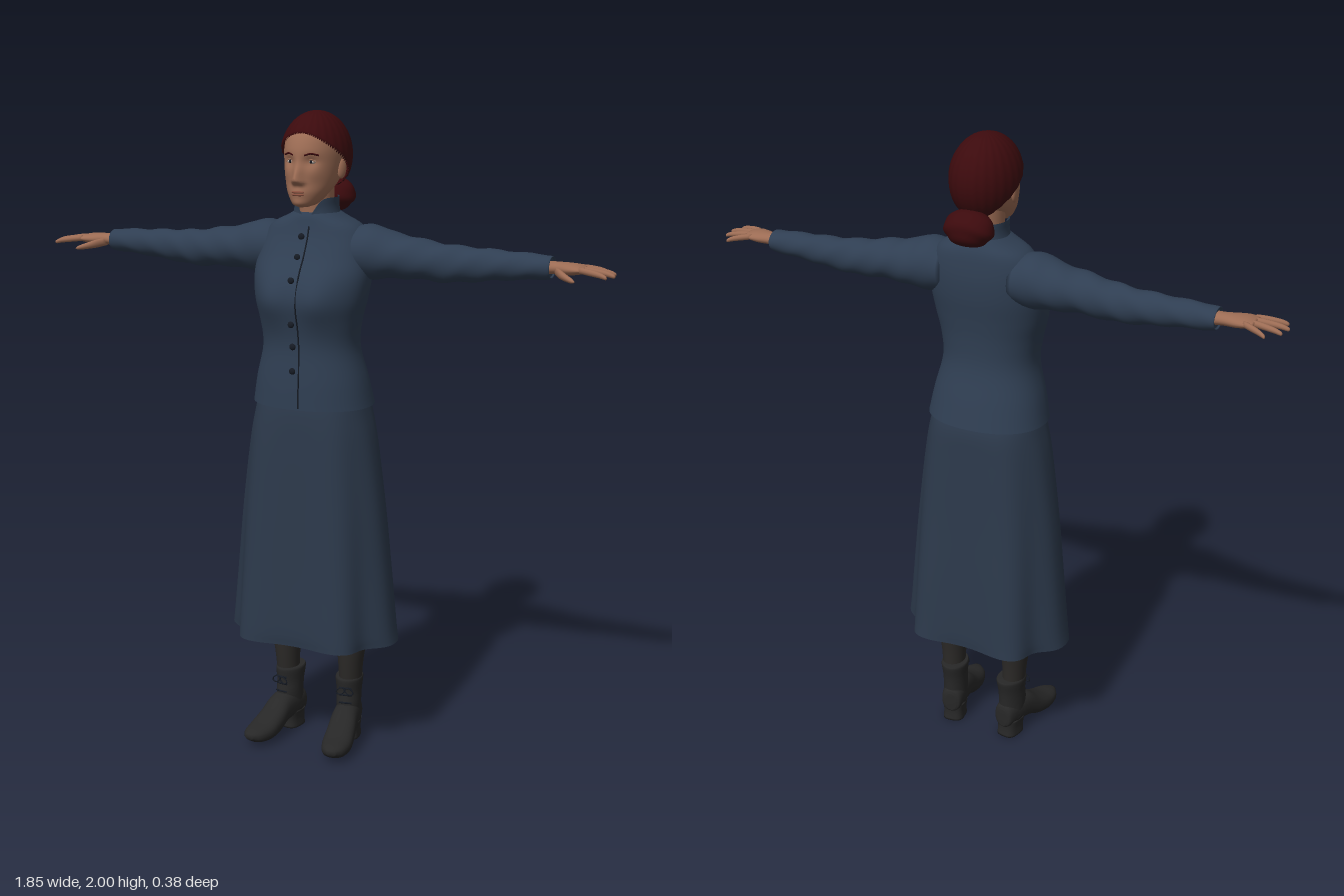
import * as THREE from 'three';

const mat = (name, color, side = THREE.FrontSide) => {
  const m = new THREE.MeshStandardMaterial({ color, side });
  m.name = name;
  return m;
};

// Smooth surface through sections [t, ca, cb, ra, rb] rising along an axis.
// Ring plane (a, b): axis x -> (y, z), axis y -> (z, x), axis z -> (x, y).
function loft(axis, sections, { seg = 32, sub = 5, e = 1, caps = true, warp } = {}) {
  const A = new THREE.CatmullRomCurve3(sections.map(s => new THREE.Vector3(s[0], s[1], s[2])), false, 'catmullrom');
  const R = new THREE.CatmullRomCurve3(sections.map(s => new THREE.Vector3(s[3], s[4], 0)), false, 'catmullrom');
  const rows = (sections.length - 1) * sub, pos = [], idx = [];
  const place = (t, a, b) => axis === 'x' ? new THREE.Vector3(t, a, b)
    : axis === 'y' ? new THREE.Vector3(b, t, a) : new THREE.Vector3(a, b, t);
  const bend = v => Math.sign(v) * Math.abs(v) ** e;
  for (let i = 0; i <= rows; i++) {
    const c = A.getPoint(i / rows), r = R.getPoint(i / rows);
    for (let j = 0; j < seg; j++) {
      const ang = j / seg * Math.PI * 2;
      const p = place(c.x, c.y + r.x * bend(Math.cos(ang)), c.z + r.y * bend(Math.sin(ang)));
      if (warp) warp(p, ang, i / rows);
      pos.push(p.x, p.y, p.z);
    }
  }
  for (let i = 0; i < rows; i++) for (let j = 0; j < seg; j++) {
    const k = (j + 1) % seg, p = i * seg, q = p + seg;
    idx.push(p + j, p + k, q + j, p + k, q + k, q + j);
  }
  if (caps) for (const end of [0, 1]) {
    const c = A.getPoint(end), p = place(c.x, c.y, c.z), n = pos.length / 3, o = end * rows * seg;
    pos.push(p.x, p.y, p.z);
    for (let j = 0; j < seg; j++) {
      const k = (j + 1) % seg;
      if (end) idx.push(o + j, o + k, n); else idx.push(o + k, o + j, n);
    }
  }
  const g = new THREE.BufferGeometry();
  g.setAttribute('position', new THREE.Float32BufferAttribute(pos, 3));
  g.setIndex(idx);
  g.computeVertexNormals();
  return g;
}

// Body section from height, front z, back z and half width
const body = list => list.map(([y, f, b, rx]) => [y, (f + b) / 2, 0, (f - b) / 2, rx]);
const bump = (d, s) => Math.exp(-d * d / (2 * s * s));

// Front surface depth of a geometry near (x, y)
function frontZ(g, x, y) {
  const p = g.attributes.position;
  let best = Infinity, z = 0;
  for (let i = 0; i < p.count; i++) {
    const d = (p.getX(i) - x) ** 2 + (p.getY(i) - y) ** 2;
    if (p.getZ(i) > 0.03 && d < best) { best = d; z = p.getZ(i); }
  }
  return z;
}

export function createModel() {
  const root = new THREE.Group();
  root.name = 'woman';
  const cloth = mat('jacket blue', 0x2f3e52, THREE.DoubleSide), skirtCloth = mat('skirt blue', 0x2c394b, THREE.DoubleSide);
  const skin = mat('skin', 0x9c6c54), hair = mat('auburn hair', 0x3c0a0d, THREE.DoubleSide), lip = mat('lips', 0x87503f);
  const leather = mat('boot leather', 0x272727), wool = mat('stocking', 0x2b2927), dark = mat('dark trim', 0x161b24);
  const white = mat('eye white', 0xb5aaa2);
  const add = (name, geo, m, parent = root, p = [0, 0, 0], s = [1, 1, 1]) => {
    const o = new THREE.Mesh(geo, m);
    o.name = name;
    o.position.set(...p);
    o.scale.set(...s);
    parent.add(o);
    return o;
  };
  const ball = new THREE.SphereGeometry(1, 24, 16);
  const tube = (pts, r, n = 24) => new THREE.TubeGeometry(
    new THREE.CatmullRomCurve3(pts.map(p => new THREE.Vector3(...p))), n, r, 6);

  // Long skirt with folds deepening to the hem
  add('skirt', loft('y', body([
    [0.365, 0.18, -0.185, 0.26], [0.42, 0.18, -0.183, 0.257], [0.6, 0.17, -0.172, 0.243],
    [0.8, 0.16, -0.158, 0.225], [1.0, 0.15, -0.146, 0.2], [1.1, 0.142, -0.138, 0.18], [1.16, 0.13, -0.115, 0.165],
  ]), { seg: 96, e: 0.78, caps: false, warp: (p, a, u) => {
    const k = 1 - Math.cos(6 * a) * 0.08 * (1 - u) ** 1.3;
    p.x *= k; p.z *= k;
  } }), skirtCloth);

  // Fitted jacket
  const torso = loft('y', body([
    [1.12, 0.15, -0.145, 0.19], [1.2, 0.147, -0.126, 0.175], [1.3, 0.14, -0.102, 0.151],
    [1.38, 0.144, -0.1, 0.158], [1.45, 0.145, -0.107, 0.175], [1.52, 0.134, -0.118, 0.184],
    [1.58, 0.106, -0.122, 0.178], [1.63, 0.082, -0.119, 0.165], [1.665, 0.07, -0.113, 0.14],
    [1.69, 0.063, -0.102, 0.09], [1.705, 0.055, -0.092, 0.062],
  ]), { seg: 72, e: 0.9, caps: false, warp: p => {
    if (p.z > 0) p.z += 0.032 * bump(p.y - 1.455, 0.055) * (bump(p.x - 0.075, 0.05) + bump(p.x + 0.075, 0.05));
  } });
  add('jacket', torso, cloth);
  add('collar', loft('y', body([
    [1.67, 0.066, -0.104, 0.085], [1.695, 0.062, -0.098, 0.071], [1.72, 0.06, -0.093, 0.066], [1.747, 0.06, -0.09, 0.067],
  ]), { caps: false, seg: 64, warp: (p, a, u) => { p.y -= 0.06 * u * Math.max(0, Math.cos(a)) ** 8; } }), cloth);

  // Front opening and buttons
  const line = [1.125, 1.2, 1.28, 1.36, 1.44, 1.52, 1.58, 1.63, 1.665].map(y => [0.014, y, frontZ(torso, 0.014, y)]);
  add('frontOpening', tube(line, 0.0025, 60), dark);
  for (const y of [1.635, 1.577, 1.513, 1.381, 1.312, 1.238])
    add('button', ball, dark, root, [-0.006, y, frontZ(torso, 0, y) + 0.002], [0.01, 0.01, 0.006]);

  // Neck and head with modelled face
  add('neck', loft('y', body([[1.64, 0.035, -0.075, 0.055], [1.72, 0.042, -0.072, 0.052], [1.8, 0.055, -0.075, 0.055]])), skin);
  const head = loft('y', body([
    [1.724, 0.098, 0.045, 0.016], [1.734, 0.113, 0.01, 0.037], [1.765, 0.117, -0.04, 0.06],
    [1.8, 0.115, -0.09, 0.075], [1.85, 0.115, -0.12, 0.084], [1.895, 0.111, -0.125, 0.086],
    [1.94, 0.09, -0.12, 0.079], [1.975, 0.05, -0.09, 0.05], [1.984, 0.015, -0.05, 0.02],
  ]), { seg: 96, sub: 8, warp: p => {
    if (p.z < 0.04) return;
    const ax = Math.abs(p.x), up = p.y - 1.805;
    p.z += 0.027 * bump(p.x, up > 0 ? 0.009 : 0.011) * bump(up, up > 0 ? 0.025 : 0.008);
    p.z += 0.008 * bump(ax - 0.012, 0.006) * bump(p.y - 1.801, 0.008);
    p.z -= 0.011 * bump(ax - 0.034, 0.014) * bump(p.y - 1.857, 0.011);
    p.z += 0.005 * bump(p.x, 0.02) * bump(p.y - 1.766, 0.012);
    p.z += 0.005 * bump(p.x, 0.016) * bump(p.y - 1.737, 0.009);
    p.z += 0.003 * bump(ax - 0.045, 0.014) * bump(p.y - 1.82, 0.014);
  } });
  add('head', head, skin);
  for (const y of [1.7695, 1.762])
    add('lip', ball, lip, root, [0, y, frontZ(head, 0, y) - 0.005], [0.021, 0.0045, 0.0075]);
  for (const s of [-1, 1]) {
    const z = frontZ(head, s * 0.034, 1.857);
    add('eye', ball, white, root, [s * 0.034, 1.857, z - 0.004], [0.0125, 0.006, 0.008]);
    add('iris', ball, dark, root, [s * 0.034, 1.857, z + 0.001], [0.005, 0.005, 0.0038]);
    add('eyelid', tube([-0.013, 0, 0.013].map(d => [s * 0.034 + d, 1.857 + (d ? 0 : 0.007), z + (d ? -0.001 : 0.003)]), 0.002), skin);
    const brow = [0.017, 0.035, 0.054].map((x, i) => [s * x, 1.876 + (i === 1 ? 0.005 : 0), frontZ(head, s * x, 1.878) - 0.001]);
    add('eyebrow', tube(brow, 0.0027), hair);
    const ear = add('ear', ball, skin, root, [s * 0.085, 1.832, -0.008], [0.009, 0.03, 0.018]);
    ear.rotation.set(-0.15, s * -0.3, 0);
  }

  // Swept-back hair, its lower edge falling from forehead to nape
  const cap = new THREE.SphereGeometry(1, 96, 28), hp = cap.attributes.position, uv = cap.attributes.uv;
  for (let i = 0; i < hp.count; i++) {
    const a = uv.getX(i) * Math.PI * 2, u = 1 - uv.getY(i);
    const edge = 1.937 - 0.185 * (1 - Math.cos(a)) / 2;
    const th = u * Math.acos((edge - 1.87) / 0.13);
    const r = (1 + 0.008 * Math.cos(24 * a) * Math.sin(th)) * (u > 0.97 ? 0.93 : 1);
    hp.setXYZ(i, 0.102 * r * Math.sin(th) * Math.sin(a), 1.87 + 0.13 * r * Math.cos(th), -0.015 + 0.13 * r * Math.sin(th) * Math.cos(a));
  }
  cap.computeVertexNormals();
  add('hair', cap, hair);
  const bun = new THREE.SphereGeometry(1, 48, 24), bp = bun.attributes.position;
  for (let i = 0; i < bp.count; i++) {
    const k = 1 + 0.025 * Math.sin(7 * bp.getY(i) + 4 * bp.getX(i) ** 2);
    bp.setXYZ(i, bp.getX(i) * 0.077 * k, bp.getY(i) * 0.054 * k, bp.getZ(i) * 0.058 * k);
  }
  bun.computeVertexNormals();
  add('hairBun', bun, hair, root, [0, 1.745, -0.122]).rotation.x = 0.2;

  // Arms and legs, mirrored
  const fingers = [
    ['indexFinger', 0.825, 0.008, 0.912, 0.034], ['middleFinger', 0.83, -0.014, 0.926, -0.004],
    ['ringFinger', 0.825, -0.036, 0.918, -0.046], ['littleFinger', 0.81, -0.055, 0.884, -0.09],
  ];
  for (const s of [1, -1]) {
    const side = new THREE.Group();
    side.name = s > 0 ? 'leftLimbs' : 'rightLimbs';
    side.scale.x = s;
    root.add(side);

    add('sleeve', loft('x', [
      [0.11, 1.585, -0.028, 0.07, 0.078], [0.175, 1.588, -0.028, 0.083, 0.088], [0.24, 1.581, -0.03, 0.07, 0.08],
      [0.32, 1.576, -0.028, 0.061, 0.067], [0.42, 1.566, -0.033, 0.056, 0.054], [0.5, 1.567, -0.04, 0.05, 0.047],
      [0.62, 1.571, -0.04, 0.041, 0.042], [0.725, 1.573, -0.04, 0.034, 0.039], [0.728, 1.573, -0.04, 0.026, 0.031],
    ], { warp: (p, a, u) => {
      p.y += 0.003 * Math.sin(p.x * 60 + 2 * a) * Math.sin(Math.PI * u);
    } }), cloth, side);

    add('hand', loft('x', [
      [0.71, 1.573, -0.036, 0.02, 0.026], [0.75, 1.574, -0.034, 0.018, 0.027], [0.785, 1.574, -0.028, 0.018, 0.038],
      [0.815, 1.575, -0.024, 0.015, 0.043], [0.838, 1.575, -0.022, 0.009, 0.037],
    ], { seg: 24 }), skin, side);
    for (const [name, x0, z0, x1, z1] of fingers) {
      const rows = [[0, 0.009, 0.006], [0.35, 0.0095, 0.003], [0.75, 0.008, -0.002], [0.95, 0.006, -0.007], [1, 0.002, -0.008]];
      add(name, loft('x', rows.map(([t, r, dy]) =>
        [x0 + (x1 - x0) * t, 1.571 + dy, z0 + (z1 - z0) * t, r, r]), { seg: 12, sub: 3 }), skin, side);
    }
    add('thumb', loft('x', [
      [0.75, 1.567, -0.018, 0.012, 0.012], [0.772, 1.562, 0.01, 0.013, 0.015], [0.795, 1.556, 0.031, 0.01, 0.012],
      [0.815, 1.551, 0.044, 0.007, 0.009], [0.824, 1.549, 0.049, 0.002, 0.003],
    ], { seg: 14, sub: 4 }), skin, side);

    add('stockingLeg', loft('y', [
      [0.14, -0.04, 0.11, 0.04, 0.033], [0.25, -0.034, 0.112, 0.046, 0.038], [0.36, -0.033, 0.114, 0.054, 0.05],
      [0.55, -0.02, 0.112, 0.06, 0.06], [0.9, 0, 0.1, 0.085, 0.08],
    ]), wool, side);

    const boot = new THREE.Group();
    boot.name = 'boot';
    boot.position.x = 0.112;
    boot.rotation.y = 0.17;
    side.add(boot);
    add('bootFoot', loft('z', [
      [-0.094, 0, 0.075, 0.018, 0.03], [-0.084, 0, 0.08, 0.033, 0.042], [-0.04, 0, 0.085, 0.039, 0.048],
      [0.02, 0, 0.079, 0.042, 0.048], [0.07, 0, 0.053, 0.046, 0.041], [0.12, 0, 0.038, 0.047, 0.031],
      [0.165, 0, 0.036, 0.036, 0.022], [0.192, 0, 0.04, 0.014, 0.009],
    ], { e: 0.85 }), leather, boot);
    add('bootShaft', loft('y', [
      [0.06, -0.042, 0, 0.046, 0.038], [0.12, -0.036, 0, 0.052, 0.039], [0.165, -0.04, 0, 0.051, 0.04],
      [0.205, -0.042, 0, 0.057, 0.044], [0.215, -0.042, 0, 0.054, 0.041],
    ]), leather, boot);
    add('bootHeel', loft('y', [[0, -0.047, 0, 0.042, 0.035], [0.03, -0.045, 0, 0.041, 0.034], [0.06, -0.042, 0, 0.046, 0.037]],
      { e: 0.65 }), leather, boot);
    [[0.11, 0.026], [0.135, 0.019], [0.16, 0.015], [0.185, 0.018]].forEach(([y, z]) =>
      add('bootLace', tube([[-0.02, y, z - 0.008], [0, y + 0.004, z + 0.002], [0.02, y, z - 0.008]], 0.003, 12), dark, boot));
    for (const k of [-1, 1]) {
      const loop = add('laceBow', new THREE.TorusGeometry(0.014, 0.0025, 6, 18), dark, boot, [k * 0.014, 0.178, 0.021], [1, 0.7, 1]);
      loop.rotation.z = k * -0.5;
    }
  }
  return root;
}
